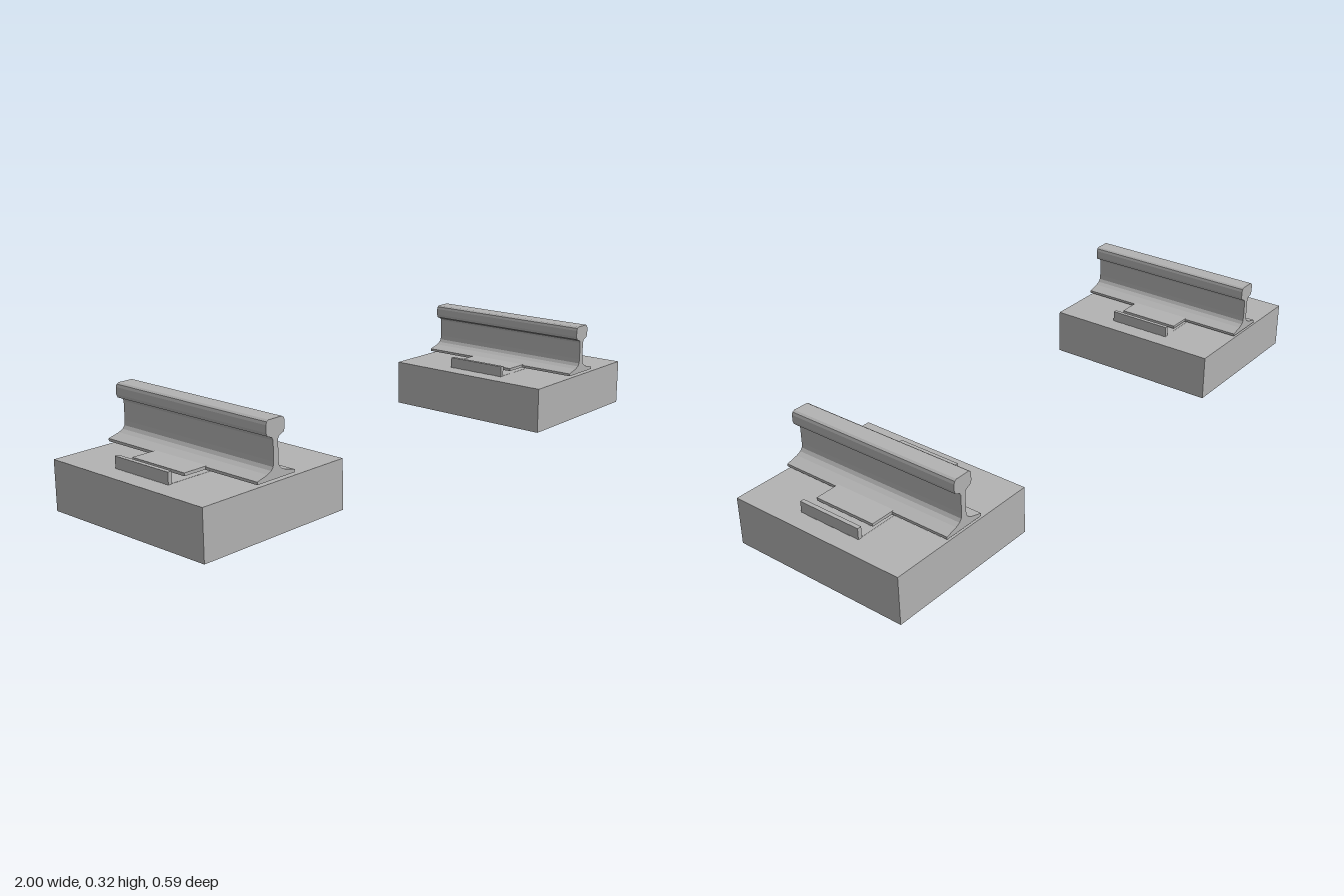
import * as THREE from 'three';

const LENGTH = 0.594;
const SLAB_W = 0.515;
const SLAB_H = 0.149;

export function createModel() {
  const grey = new THREE.MeshStandardMaterial({ color: 0xb2b2b2, side: THREE.DoubleSide });
  grey.name = 'plain grey';

  const model = new THREE.Group();
  model.name = 'railTrackSection';

  const add = (parent, name, geometry, x = 0, y = 0, z = 0) => {
    const mesh = new THREE.Mesh(geometry, grey);
    mesh.name = name;
    mesh.position.set(x, y, z);
    parent.add(mesh);
    return mesh;
  };

  // Slab: a hollow box without its bottom face
  const slab = new THREE.BoxGeometry(SLAB_W, SLAB_H, LENGTH);
  const faces = Array.from(slab.index.array);
  faces.splice(18, 6);
  slab.setIndex(faces);
  slab.clearGroups();

  // Rail: half profile from foot to head, mirrored and extruded along z
  const half = [
    [0.069, 0.157], [0.069, 0.165], [0.032, 0.175], [0.018, 0.182],
    [0.011, 0.191], [0.009, 0.205], [0.009, 0.262], [0.013, 0.27],
    [0.03, 0.277], [0.034, 0.287], [0.034, 0.308], [0.031, 0.316], [0.024, 0.32],
  ];
  const mirrored = half.map(([x, y]) => [-x, y]).reverse();
  const profile = new THREE.Shape([...half, ...mirrored].map(([x, y]) => new THREE.Vector2(x, y)));
  const rail = new THREE.ExtrudeGeometry(profile, { depth: LENGTH, bevelEnabled: false });
  rail.translate(0, 0, -LENGTH / 2);

  // Fastening pieces
  const clampPlate = new THREE.BoxGeometry(0.286, 0.009, 0.208);
  const upright = new THREE.BoxGeometry(0.013, 0.036, 0.212);
  const basePlate = new THREE.BoxGeometry(0.196, 0.003, 0.208);

  for (const side of [-1, 1]) {
    const unit = new THREE.Group();
    unit.name = side > 0 ? 'leftRailUnit' : 'rightRailUnit';
    unit.position.x = side * (1 - SLAB_W / 2);
    model.add(unit);

    add(unit, 'slab', slab, 0, SLAB_H / 2, 0);
    add(unit, 'rail', rail);
    add(unit, 'clampPlate', clampPlate, 0, 0.1625, 0);
    for (const s of [-1, 1]) {
      add(unit, 'clipUpright', upright, s * 0.193, 0.166, 0);
      add(unit, 'clipBase', basePlate, s * 0.102, 0.148, 0);
    }
  }
  return model;
}
